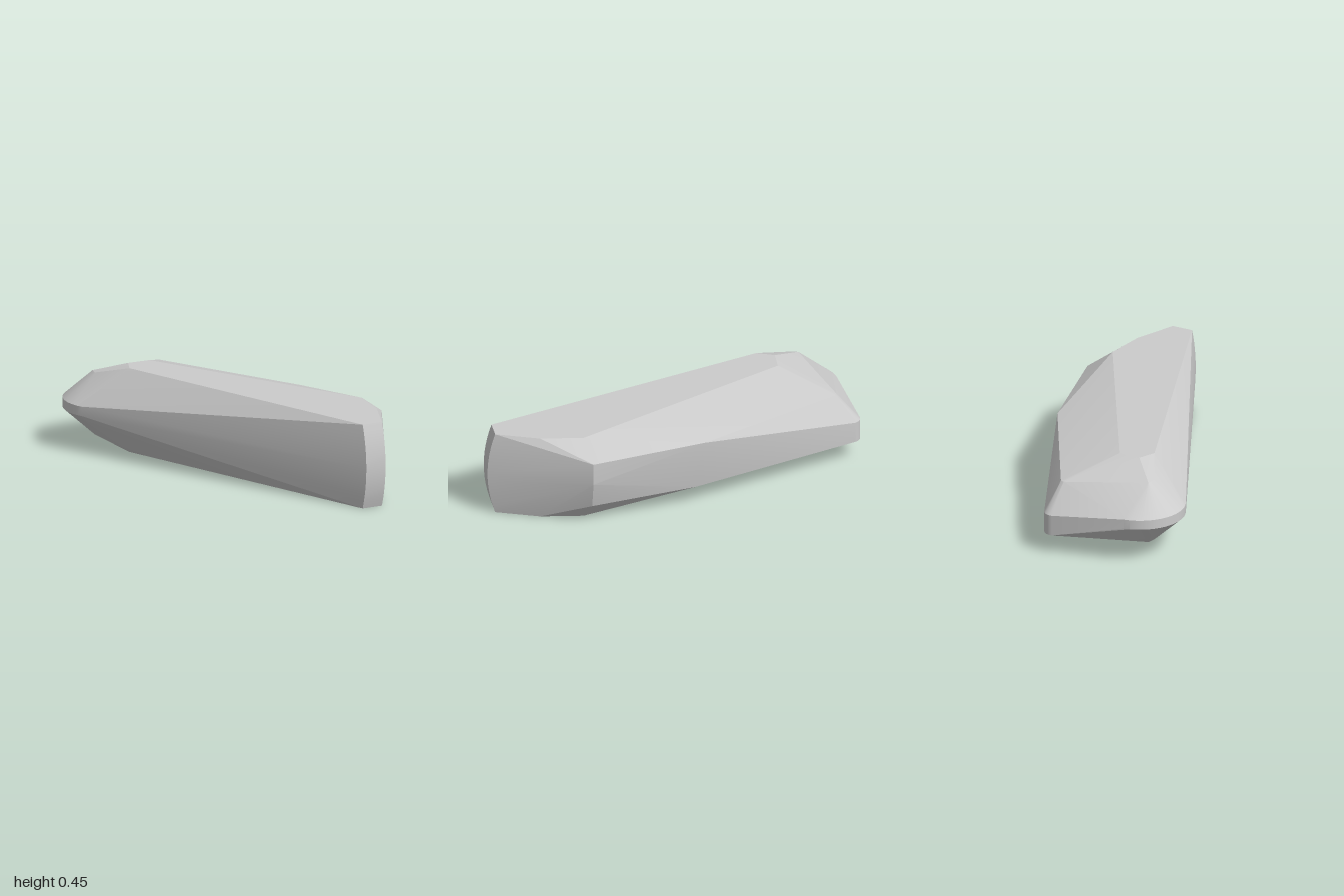
import * as THREE from 'three';
import { ConvexGeometry } from 'three/addons/geometries/ConvexGeometry.js';
import { toCreasedNormals } from 'three/addons/utils/BufferGeometryUtils.js';

const H = 0.448;

export function createModel() {
  const points = [];
  const add = (x, y, z) => points.push(new THREE.Vector3(x, y, z));
  // rounded corner in plan, repeated at each given height
  const corner = (cx, cz, r, from, to, steps, heights) => {
    for (let i = 0; i <= steps; i++) {
      const a = THREE.MathUtils.degToRad(from + (to - from) * i / steps);
      for (const y of heights) add(cx + r * Math.cos(a), y, cz + r * Math.sin(a));
    }
  };

  // narrow nose, bulging slightly forward at mid height
  for (const x of [0.23, 0.342]) {
    for (let i = 0; i <= 12; i++) {
      const t = i / 6 - 1;
      add(x, H / 2 * (1 + t), 1 - 0.04 * t * t);
    }
  }

  // flat top and bottom faces
  const face = [[0.43, 0.74], [0.46, 0.52], [-0.18, -0.605], [-0.30, -0.61], [-0.34, -0.52]];
  for (const [x, z] of face) {
    add(x, H, z);
    add(x, 0, z);
  }

  // bevelled shoulder of the wide rear corner
  for (const y of [0.39, H - 0.39]) {
    add(-0.44, y, -0.71);
    add(-0.43, y, -0.755);
  }

  // left flank: upper and lower edges
  add(0.59, 0.355, 0.49);
  add(0.59, 0.24, 0.49);
  add(0.55, 0.097, 0.49);
  add(0.44, 0.355, -0.12);
  add(0.425, 0.097, -0.07);
  add(0.02, 0.355, -0.87);
  add(0.0, 0.355, -0.877);

  // rounded rear corners
  corner(-0.36, -0.715, 0.235, 153, 263, 14, [0.2, 0.25]);
  corner(0.012, -0.94, 0.06, 263, 335, 6, [0.1, 0.21]);

  const geometry = toCreasedNormals(new ConvexGeometry(points), THREE.MathUtils.degToRad(14));
  const body = new THREE.Mesh(geometry, new THREE.MeshStandardMaterial({ color: 0xcccccc }));
  body.name = 'facetedBody';

  const group = new THREE.Group();
  group.name = 'facetedBlock';
  group.add(body);
  return group;
}
